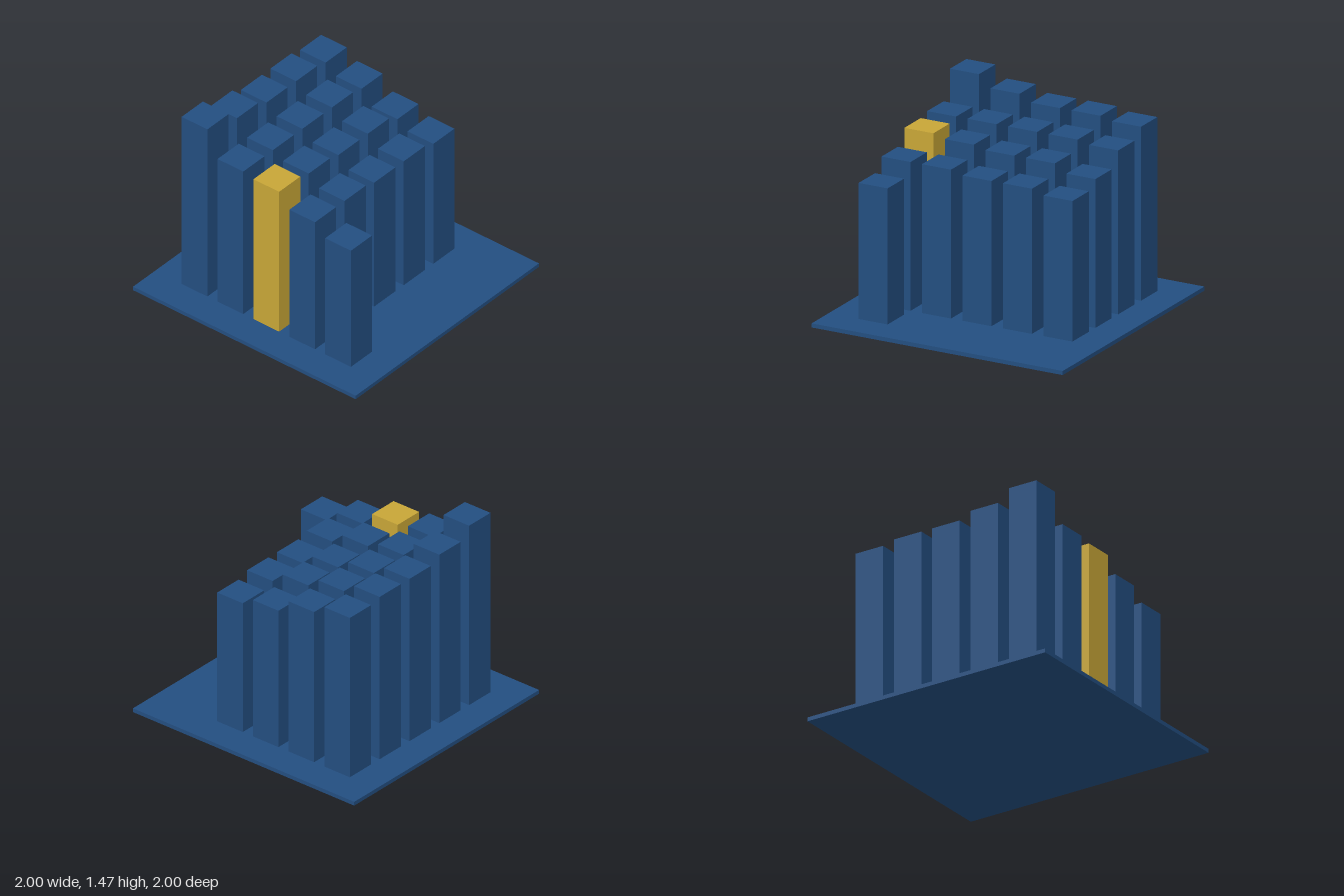
import * as THREE from 'three';

export function createModel() {
  const model = new THREE.Group();
  model.name = 'calendarBarChart';

  const blue = new THREE.MeshStandardMaterial({ color: 0x234e80 });
  blue.name = 'navy blue';
  const gold = new THREE.MeshStandardMaterial({ color: 0xc8a637 });
  gold.name = 'gold';

  const baseHeight = 0.03;
  const pitch = 0.3225;
  const width = 0.231;

  function block(name, w, bottom, top, x, z, material) {
    const mesh = new THREE.Mesh(new THREE.BoxGeometry(w, top - bottom, w), material);
    mesh.position.set(x, (bottom + top) / 2, z);
    mesh.name = name;
    model.add(mesh);
  }

  // Thin square plate under the bars
  block('basePlate', 2, 0, baseHeight, 0, 0, blue);

  // Top of each bar, rows from back to front, bars from -x to +x
  const tops = [
    [1.472, 1.384, 1.335, 1.335, 1.311],
    [1.26, 1.26, 1.26, 1.26, 1.237],
    [1.237, 1.21, 1.185, 1.185, 1.126],
    [1.126, 1.126, 1.099, 1.099, 1.065],
    [1.032],
  ];
  tops.forEach((row, r) => row.forEach((top, c) => {
    const highlighted = r === 2 && c === 0;
    block(highlighted ? 'highlightedBar' : `bar${r + 1}_${c + 1}`, width, baseHeight, top,
      (c - 2) * pitch, (r - 2) * pitch, highlighted ? gold : blue);
  }));

  return model;
}
